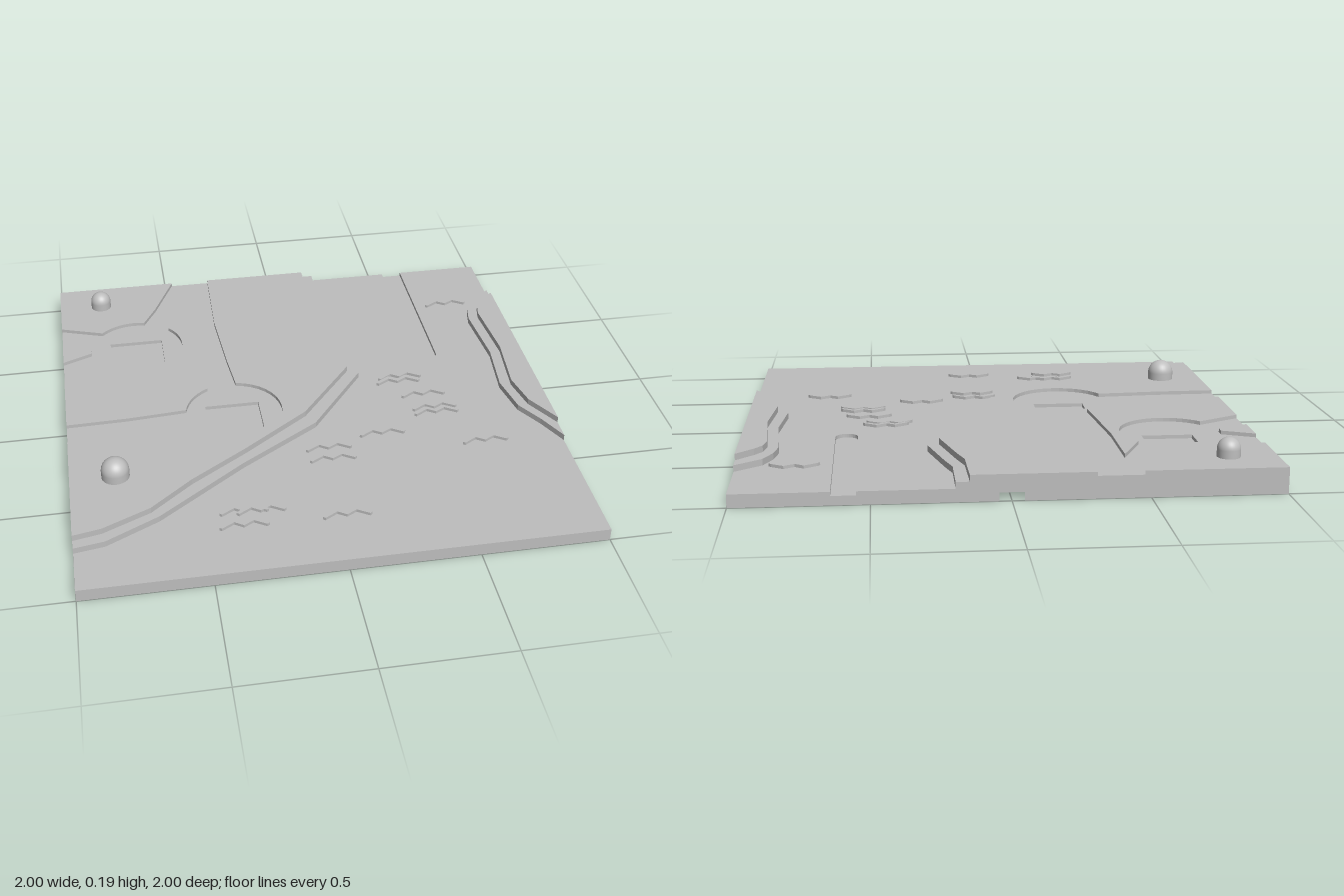
import * as THREE from 'three';

const stone = new THREE.MeshStandardMaterial({ color: 0xbebebe });
stone.name = 'plainGrey';

// Points of an arc in the ground plane (x, z)
function arc(cx, cz, r, from, to, steps = 24) {
  const pts = [];
  for (let i = 0; i <= steps; i++) {
    const a = from + (to - from) * i / steps;
    pts.push([cx + r * Math.cos(a), cz + r * Math.sin(a)]);
  }
  return pts;
}

// Slab from a ground outline (x, z), between two heights
function slab(name, outline, y0, y1, holes = []) {
  const flat = pts => pts.map(([x, z]) => new THREE.Vector2(x, -z));
  const shape = new THREE.Shape(flat(outline));
  holes.forEach(h => shape.holes.push(new THREE.Path(flat(h))));
  const geo = new THREE.ExtrudeGeometry(shape, { depth: y1 - y0, bevelEnabled: false });
  geo.rotateX(-Math.PI / 2);
  geo.translate(0, y0, 0);
  const mesh = new THREE.Mesh(geo, stone);
  mesh.name = name;
  return mesh;
}

const square = (cx, cz, h) => [[cx - h, cz - h], [cx + h, cz - h], [cx + h, cz + h], [cx - h, cz + h]];

// Heights of the levels
const FLOOR = 0.035, SEA = 0.05, SHORE = 0.075, ROAD = 0.085, LAND = 0.1;
const plazaA = [-0.675, -0.475], plazaB = [-0.31, 0.075], PLAZA_R = 0.2;

// Low zigzag ridge on the sea
function wave(x, z) {
  const line = [[-0.085, 0.012], [-0.035, -0.018], [0, 0.005], [0.04, -0.018], [0.088, 0.012]];
  const w = 0.009;
  const upper = line.map(([a, b]) => [x + a, z + b - w]);
  const lower = line.map(([a, b]) => [x + a, z + b + w]).reverse();
  return slab('wave', [...upper, [x + 0.097, z + 0.014], ...lower, [x - 0.094, z + 0.014]], SEA - 0.002, 0.062);
}

// Rounded peg standing on the land
function peg(x, z, r) {
  const neck = 0.03;
  const profile = [new THREE.Vector2(r, 0)];
  for (let i = 0; i <= 12; i++) {
    const a = i / 12 * Math.PI / 2;
    profile.push(new THREE.Vector2(i === 12 ? 0 : r * Math.cos(a), neck + r * Math.sin(a)));
  }
  const mesh = new THREE.Mesh(new THREE.LatheGeometry(profile, 32), stone);
  mesh.name = 'peg';
  mesh.position.set(x, LAND, z);
  return mesh;
}

export function createModel() {
  const model = new THREE.Group();
  model.name = 'terrainTile';
  const sockets = [square(...plazaA, 0.115), square(...plazaB, 0.115)];

  // Bottom slab with a dovetail notch in the back and both sides
  const notch = [[-0.045, 0], [-0.08, 0.1], [0.08, 0.1], [0.045, 0]];
  model.add(slab('bottomSlab', [
    [-1, 1], [1, 1],
    ...notch.map(([t, d]) => [1 - d, -t]),
    [1, -1],
    ...notch.map(([t, d]) => [-t, -1 + d]),
    [-1, -1],
    ...notch.map(([t, d]) => [-1 + d, t]),
  ], 0, FLOOR));

  // Sea surface, with a round-ended channel running in from the back
  model.add(slab('sea', [
    [-1, 1], [1, 1], [1, -1], [0.64, -1],
    ...arc(0.595, -0.28, 0.045, 0, Math.PI, 16),
    [0.55, -1], [-1, -1],
  ], FLOOR, SEA, sockets));

  // Mainland: lower shore ledge, then the road level
  const shore = [[0.2, -1], [0.2, -0.81], [0.225, -0.73], [0.28, -0.52], [0.262, -0.15], [0.015, 0.18],
    [-0.315, 0.4], [-0.67, 0.67], [-0.88, 0.78], [-1, 0.8]];
  const coast = [[0.15, -1], [0.155, -0.8], [0.18, -0.72], [0.235, -0.51], [0.215, -0.17], [-0.02, 0.13],
    [-0.3, 0.34], [-0.53, 0.5], [-0.7, 0.645], [-0.89, 0.735], [-1, 0.757]];
  model.add(slab('shoreLedge', [[-1, -1], ...shore], SEA, SHORE, sockets));
  model.add(slab('roadBed', [[-1, -1], ...coast], SHORE, ROAD, sockets));

  // Raised ground between the roads
  model.add(slab('backCornerGround', [
    [-1, -1], [-1, -0.675],
    ...arc(...plazaA, PLAZA_R, -2.39, -1.34),
    [-0.57, -0.78], [-0.475, -1],
  ], ROAD, LAND));
  model.add(slab('forkGround', [[-1, -0.545], [-0.875, -0.49], [-0.875, -0.455], [-1, -0.4]], ROAD, LAND));
  model.add(slab('middleGround', [
    [-1, -0.25],
    ...arc(...plazaA, PLAZA_R, 2.42, -0.72),
    [-0.44, -0.785], [-0.437, -0.5], [-0.42, -0.3],
    ...arc(...plazaB, PLAZA_R, -2.05, -2.96, 10),
    [-0.75, 0.058], [-1, 0.065],
  ], ROAD, LAND));
  model.add(slab('coastGround', [
    [-1, 0.18], [-0.75, 0.175],
    ...arc(...plazaB, PLAZA_R, 2.72, -1.42),
    [-0.295, -0.29], [-0.315, -0.61], [-0.305, -1],
    ...coast,
  ], ROAD, LAND));

  // Right-hand island in two steps
  model.add(slab('islandLedge', [[1, -0.73], [0.9, -0.655], [0.865, -0.58], [0.85, -0.5], [0.87, -0.21],
    [0.845, 0.03], [0.875, 0.2], [0.94, 0.31], [1, 0.435]], SEA, SHORE));
  model.add(slab('islandTop', [[1, -0.665], [0.935, -0.6], [0.905, -0.56], [0.893, -0.5], [0.913, -0.21],
    [0.888, 0.05], [0.918, 0.2], [1, 0.345]], SHORE, LAND));

  // Pegs and waves
  model.add(peg(-0.82, 0.43, 0.055), peg(-0.815, -0.845, 0.044));
  const waves = [[0.78, -0.682], [0.42, -0.09], [0.435, -0.123], [0.505, 0.02], [0.53, 0.155], [0.53, 0.12],
    [0.275, 0.263], [0.04, 0.325], [0.045, 0.398], [0.68, 0.38], [-0.35, 0.663], [-0.285, 0.67],
    [-0.36, 0.745], [0.035, 0.748]];
  waves.forEach(([x, z]) => model.add(wave(x, z)));
  return model;
}
